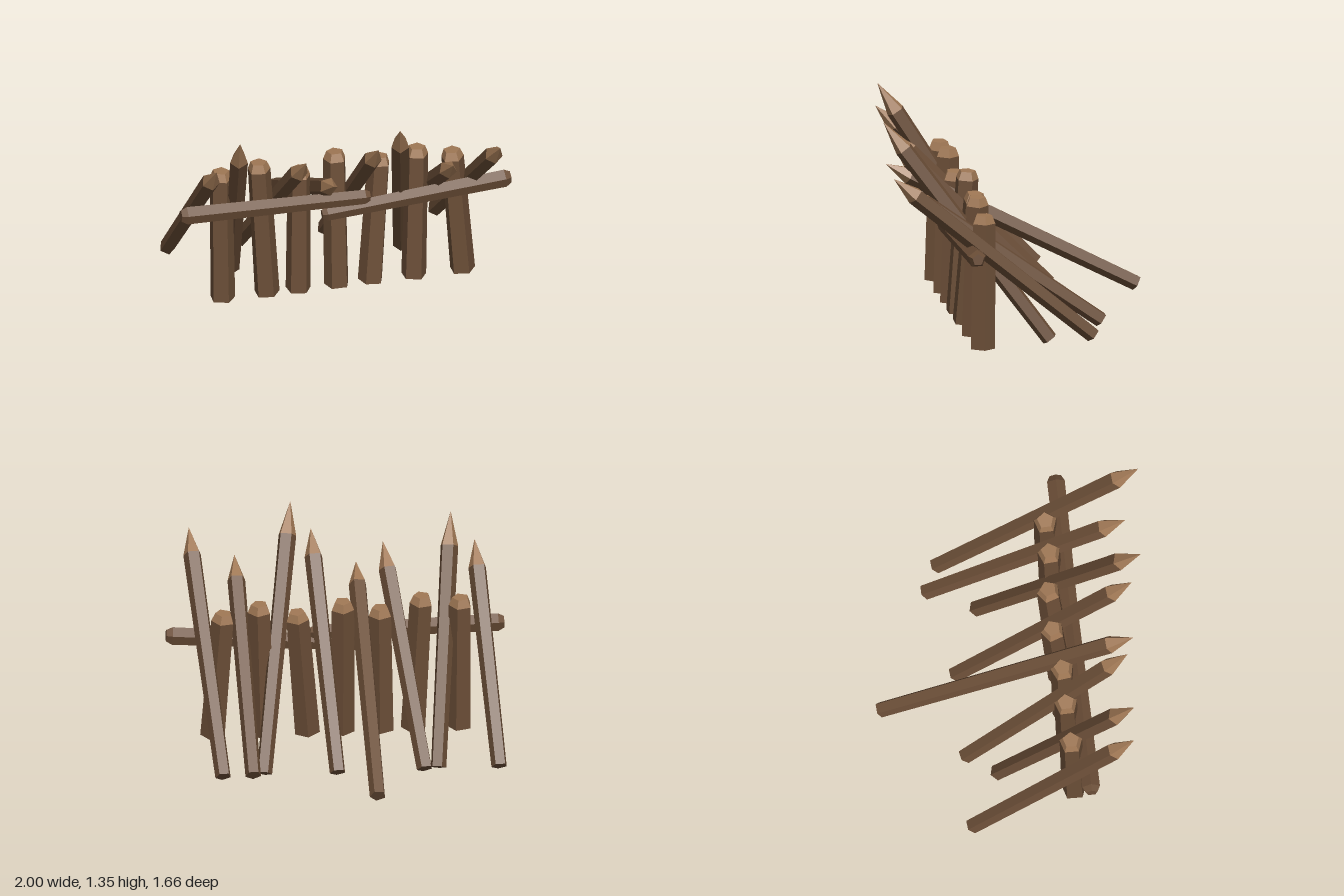
import * as THREE from 'three';

const material = (name, color) => {
  const m = new THREE.MeshStandardMaterial({ color, flatShading: true });
  m.name = name;
  return m;
};

// Five-sided log running from a to b: shaft with a tapered cut at the b end
function makeLog(name, a, b, o) {
  const start = new THREE.Vector3(...a);
  const dir = new THREE.Vector3(...b).sub(start);
  const length = dir.length();
  const body = length - o.cut;
  const log = new THREE.Group();
  log.name = name;
  const add = (part, rTop, rBottom, h, y, mat) => {
    const g = new THREE.CylinderGeometry(rTop, rBottom, h, 5, 1, false, o.yaw);
    const mesh = new THREE.Mesh(g, mat);
    mesh.name = part;
    mesh.position.y = y + h / 2;
    log.add(mesh);
  };
  const first = o.startCut || 0;
  add('shaft', o.r1, o.r0, body - first, first, o.wood);
  add('cutEnd', o.tip, o.r1, o.cut, body, o.cutMat);
  if (first) add('startEnd', o.r0, o.r0 * 0.65, first, 0, o.wood);
  log.position.copy(start);
  log.quaternion.setFromUnitVectors(new THREE.Vector3(0, 1, 0), dir.normalize());
  return log;
}

export function createModel() {
  const wood = material('bark brown', 0x6b4e37);
  const cutMat = material('fresh cut wood', 0xa07855);
  const model = new THREE.Group();
  model.name = 'palisade';

  // Slanted sharpened stakes: foot, point, point length, twist
  const stakes = [
    [[-0.91, 0.12, -0.345], [-0.85, 1.14, 0.62], 0.17, 0.1],
    [[-0.565, 0.04, -0.16], [-0.71, 1.32, 0.635], 0.2, -0.25],
    [[-0.47, 0.12, -0.34], [-0.31, 1.14, 0.64], 0.17, 0.2],
    [[-0.15, 0.18, -0.81], [-0.155, 0.99, 0.69], 0.16, 0.15],
    [[0.045, 0.12, -0.345], [0.11, 1.21, 0.71], 0.17, 0.1],
    [[0.465, 0.05, -0.175], [0.225, 1.36, 0.775], 0.2, -0.25],
    [[0.555, 0.18, -0.465], [0.56, 1.05, 0.72], 0.16, 0],
    [[0.725, 0.14, -0.385], [0.82, 1.19, 0.825], 0.17, 0.1],
  ];
  for (const [foot, point, cut, yaw] of stakes) {
    model.add(makeLog('stake', foot, point,
      { r0: 0.048, r1: 0.055, tip: 0.001, cut, yaw, wood, cutMat }));
  }

  // Upright posts: foot x, top x, top y, top z, twist
  const posts = [
    [-0.73, -0.735, 0.94, 0.26, -0.35],
    [-0.46, -0.505, 0.965, 0.255, -0.3],
    [-0.27, -0.26, 0.895, 0.26, -0.2],
    [-0.035, -0.035, 0.96, 0.225, 0],
    [0.17, 0.235, 0.9, 0.23, 0],
    [0.43, 0.455, 0.945, 0.26, -0.25],
    [0.725, 0.665, 0.895, 0.26, -0.3],
  ];
  for (const [x0, x1, y, z, twist] of posts) {
    model.add(makeLog('post', [x0, 0.095, 0.28], [x1, y, z],
      { r0: 0.077, r1: 0.07, tip: 0.05, cut: 0.05, yaw: Math.PI + twist, wood, cutMat }));
  }

  // Two crossing rails along the front
  const rail = { r0: 0.045, r1: 0.055, tip: 0.036, cut: 0.035, startCut: 0.03, wood, cutMat: wood };
  model.add(makeLog('leftRail', [-0.145, 0.62, 0.355], [0.997, 0.72, 0.355], { ...rail, yaw: -Math.PI / 2 }));
  model.add(makeLog('rightRail', [0.145, 0.705, 0.355], [-1, 0.725, 0.355], { ...rail, yaw: Math.PI / 2 }));
  return model;
}
